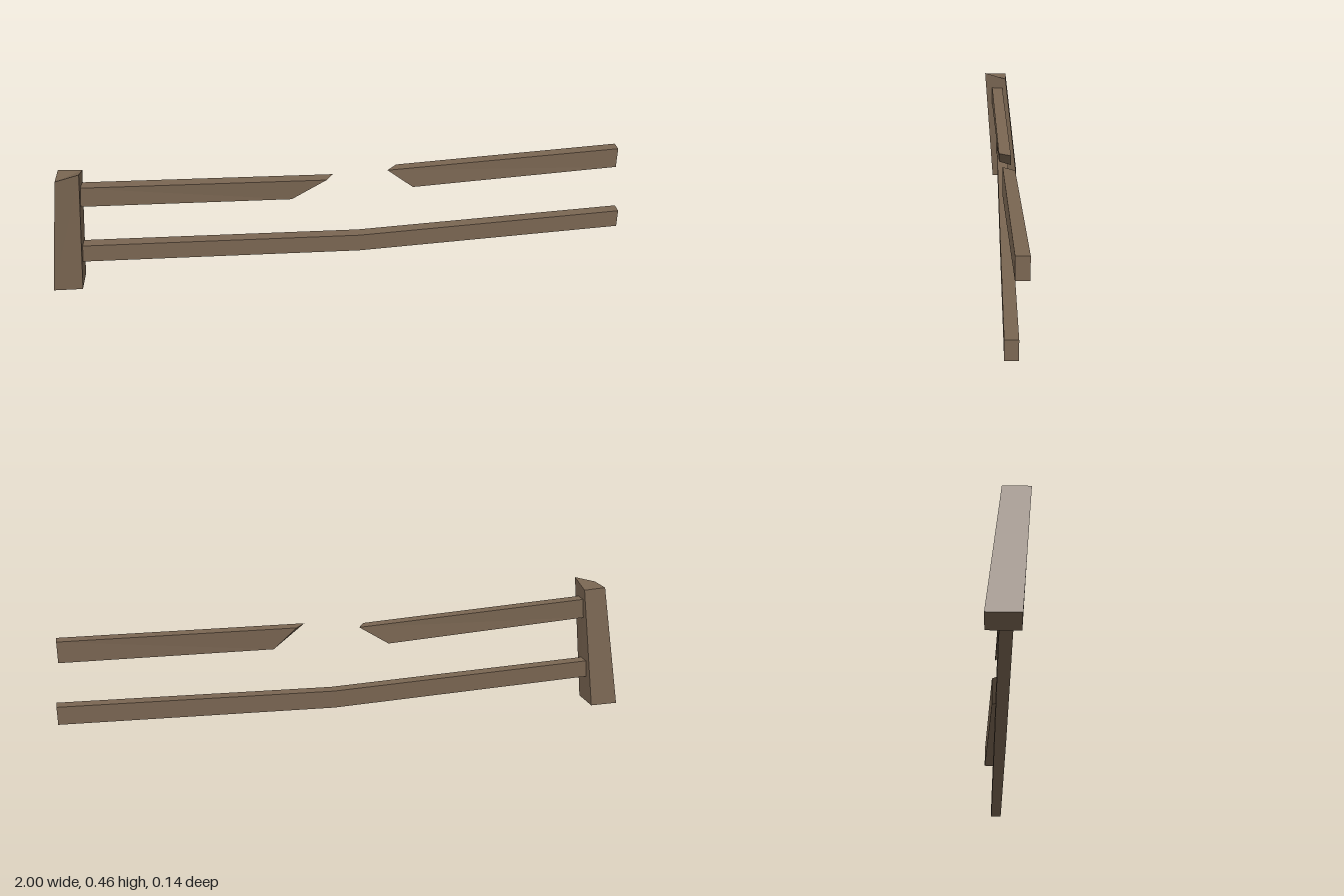
import * as THREE from 'three';

// Closed prism through four-cornered sections, counter-clockwise seen from the far end
function loft(name, sections, material) {
  const pos = [];
  const quad = (a, b, c, d) => [a, b, c, a, c, d].forEach((p) => pos.push(...p));
  for (let s = 0; s < sections.length - 1; s++) {
    const A = sections[s], B = sections[s + 1];
    for (let i = 0; i < 4; i++) {
      const j = (i + 1) % 4;
      quad(A[i], A[j], B[j], B[i]);
    }
  }
  const first = sections[0], last = sections[sections.length - 1];
  quad(first[3], first[2], first[1], first[0]);
  quad(...last);
  const geometry = new THREE.BufferGeometry();
  geometry.setAttribute('position', new THREE.Float32BufferAttribute(pos, 3));
  geometry.computeVertexNormals();
  const mesh = new THREE.Mesh(geometry, material);
  mesh.name = name;
  return mesh;
}

// Rail section; xs gives x at front-bottom, back-bottom, back-top, front-top
function cut(xs, bottom, top, front, back) {
  const [a, b, c, d] = Array.isArray(xs) ? xs : [xs, xs, xs, xs];
  return [[a, bottom, front], [b, bottom, back], [c, top, back], [d, top, front]];
}

export function createModel() {
  const wood = new THREE.MeshStandardMaterial({ color: 0x7a6652 });
  wood.name = 'weathered wood';
  const fence = new THREE.Group();
  fence.name = 'brokenFence';

  // Leaning post with a slanted top
  fence.add(loft('post', [
    [[-1, 0, 0.044], [-0.9, 0, 0.044], [-0.9, 0, -0.057], [-1, 0, -0.057]],
    [[-0.94, 0.436, 0.073], [-0.86, 0.458, 0.073], [-0.86, 0.433, -0.011], [-0.94, 0.437, -0.011]],
  ], wood));

  // Sagging lower rail
  fence.add(loft('lowerRail', [
    cut(-0.89, 0.1, 0.162, 0.026, -0.015),
    cut(0.07, 0.083, 0.145, 0.011, -0.03),
    cut(1, 0.126, 0.188, -0.003, -0.043),
  ], wood));

  // Upper rail, snapped in two with slanted breaks
  fence.add(loft('upperRailPostSide', [
    cut(-0.88, 0.325, 0.395, 0.045, 0.003),
    cut([-0.165, -0.125, -0.02, -0.045], 0.302, 0.37, 0.014, -0.028),
  ], wood));
  fence.add(loft('upperRailFarSide', [
    cut([0.255, 0.28, 0.2, 0.165], 0.322, 0.391, 0.001, -0.04),
    cut(0.98, 0.35, 0.421, -0.031, -0.072),
  ], wood));

  return fence;
}
